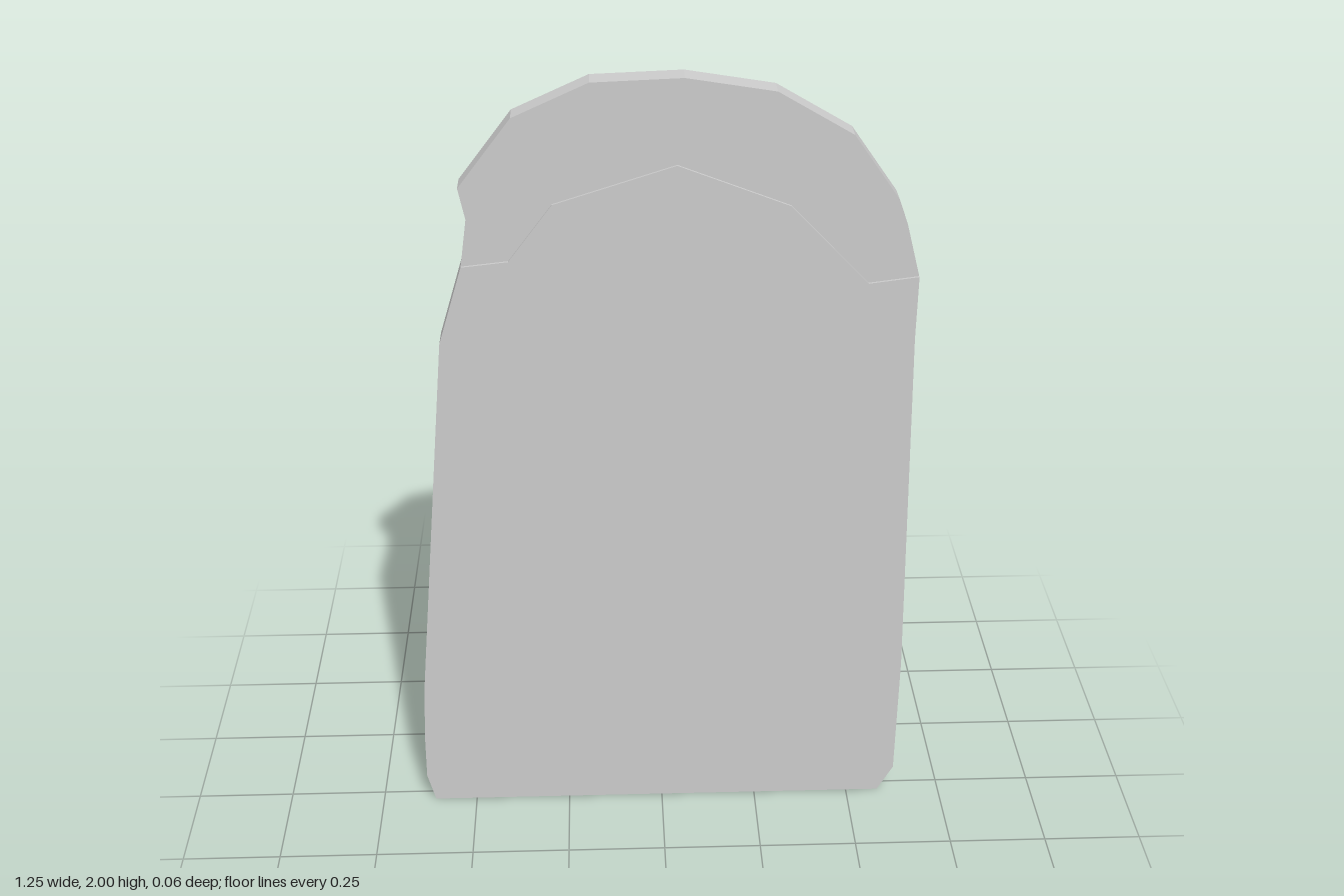
import * as THREE from 'three';

const BACK = -0.033, RECESS = 0.026, FRONT = 0.032;

// Lower outline, from the right end of the ledge clockwise to its left end
const lowerEdge = [
  [0.597, 1.52], [0.597, 1.36], [0.625, 0.42], [0.625, 0.075], [0.585, 0],
  [-0.61, 0], [-0.63, 0.08], [-0.628, 0.2], [-0.62, 0.36], [-0.522, 1.365], [-0.462, 1.56],
];
// Worn, rounded top from left to right, with a chip at the left shoulder
const topEdge = [
  [-0.445, 1.675], [-0.46, 1.75], [-0.335, 1.913], [-0.16, 1.992], [0.05, 2],
  [0.255, 1.967], [0.43, 1.865], [0.54, 1.71], [0.562, 1.65],
];
// Broken ledge across the front face, left to right
const ledge = [[-0.353, 1.572], [-0.249, 1.71], [0.034, 1.8], [0.293, 1.7], [0.48, 1.505]];

function slab(name, points, z0, z1) {
  const shape = new THREE.Shape(points.map(([x, y]) => new THREE.Vector2(x, y)));
  const geometry = new THREE.ExtrudeGeometry(shape, { depth: z1 - z0, bevelEnabled: false });
  geometry.translate(0, 0, z0);
  const mesh = new THREE.Mesh(
    geometry,
    new THREE.MeshStandardMaterial({ color: 0xcccccc, flatShading: true })
  );
  mesh.name = name;
  return mesh;
}

export function createModel() {
  const group = new THREE.Group();
  group.name = 'stoneSlab';
  // Full slab, whose front shows only above the ledge
  group.add(slab('slabBody', [...lowerEdge, ...topEdge], BACK, RECESS));
  // Thin raised layer on the front, below the ledge
  group.add(slab('raisedFace', [...lowerEdge, ...ledge], RECESS, FRONT));
  return group;
}
